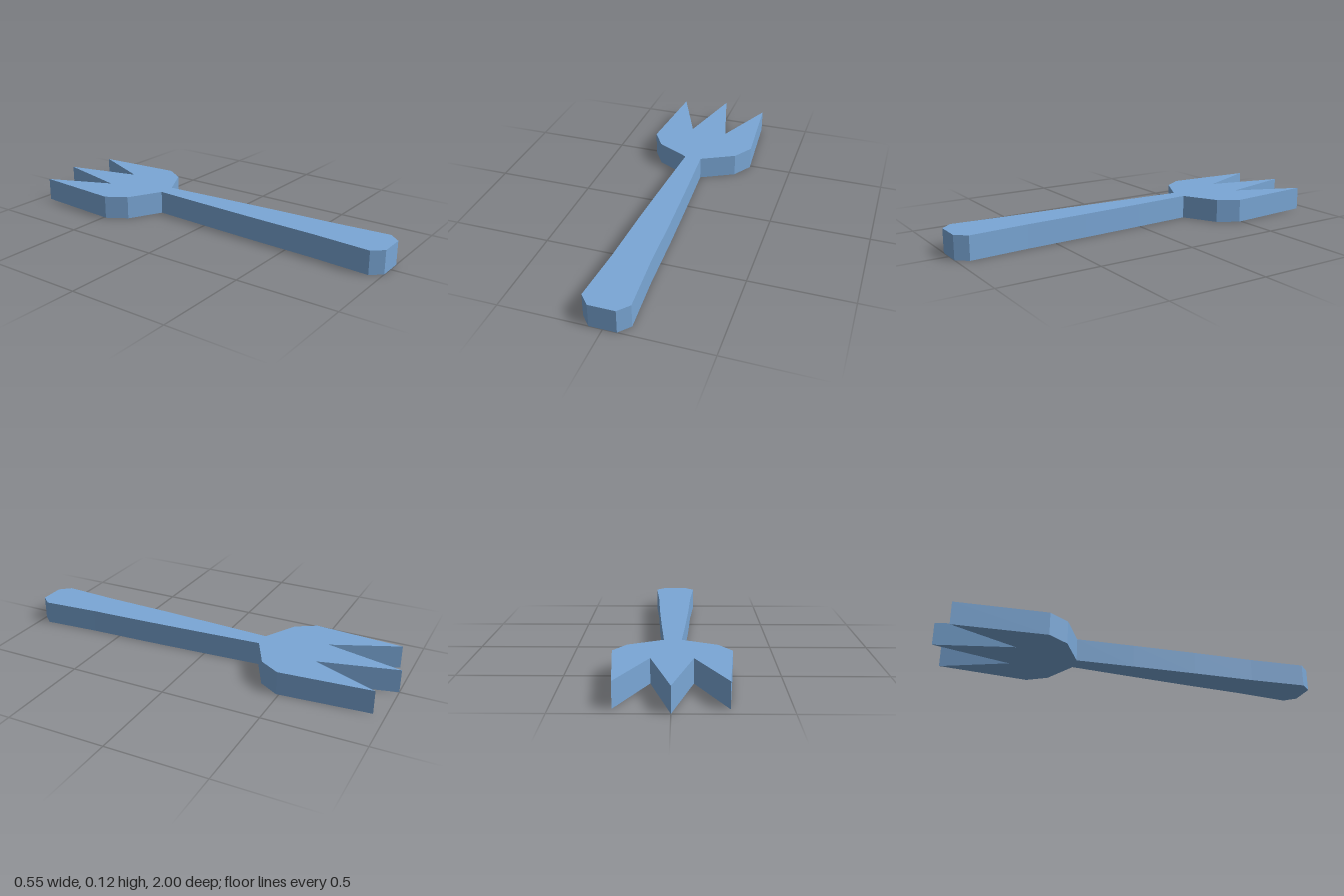
import * as THREE from 'three';

export function createModel() {
  const blue = new THREE.MeshStandardMaterial({ color: 0x7aa7d6 });
  blue.name = 'soft blue';

  const group = new THREE.Group();
  group.name = 'fork';

  // Extrude a left-right symmetric outline; half lists [x, -z] from tip to handle end
  const thickness = 0.118;
  function symmetricSlab(name, half) {
    const mirrored = half.filter(([x]) => x > 0).reverse().map(([x, y]) => [-x, y]);
    const outline = [...half, ...mirrored].map(([x, y]) => new THREE.Vector2(x, y));
    const geometry = new THREE.ExtrudeGeometry(new THREE.Shape(outline), {
      depth: thickness, bevelEnabled: false,
    });
    geometry.rotateX(-Math.PI / 2);
    const mesh = new THREE.Mesh(geometry, blue);
    mesh.name = name;
    group.add(mesh);
  }

  // Three-pronged head and tapered handle in one continuous slab
  symmetricSlab('forkBody', [
    [0, 1], [0.097, 0.61], [0.241, 0.943],    // middle prong, gap, outer prong
    [0.277, 0.487], [0.214, 0.385],           // head side and shoulder
    [0.043, 0.295],                           // neck
    [0.061, 0], [0.079, -0.33], [0.092, -0.65], // handle flare
    [0.113, -0.945], [0.065, -1],             // clipped handle end
  ]);

  return group;
}
